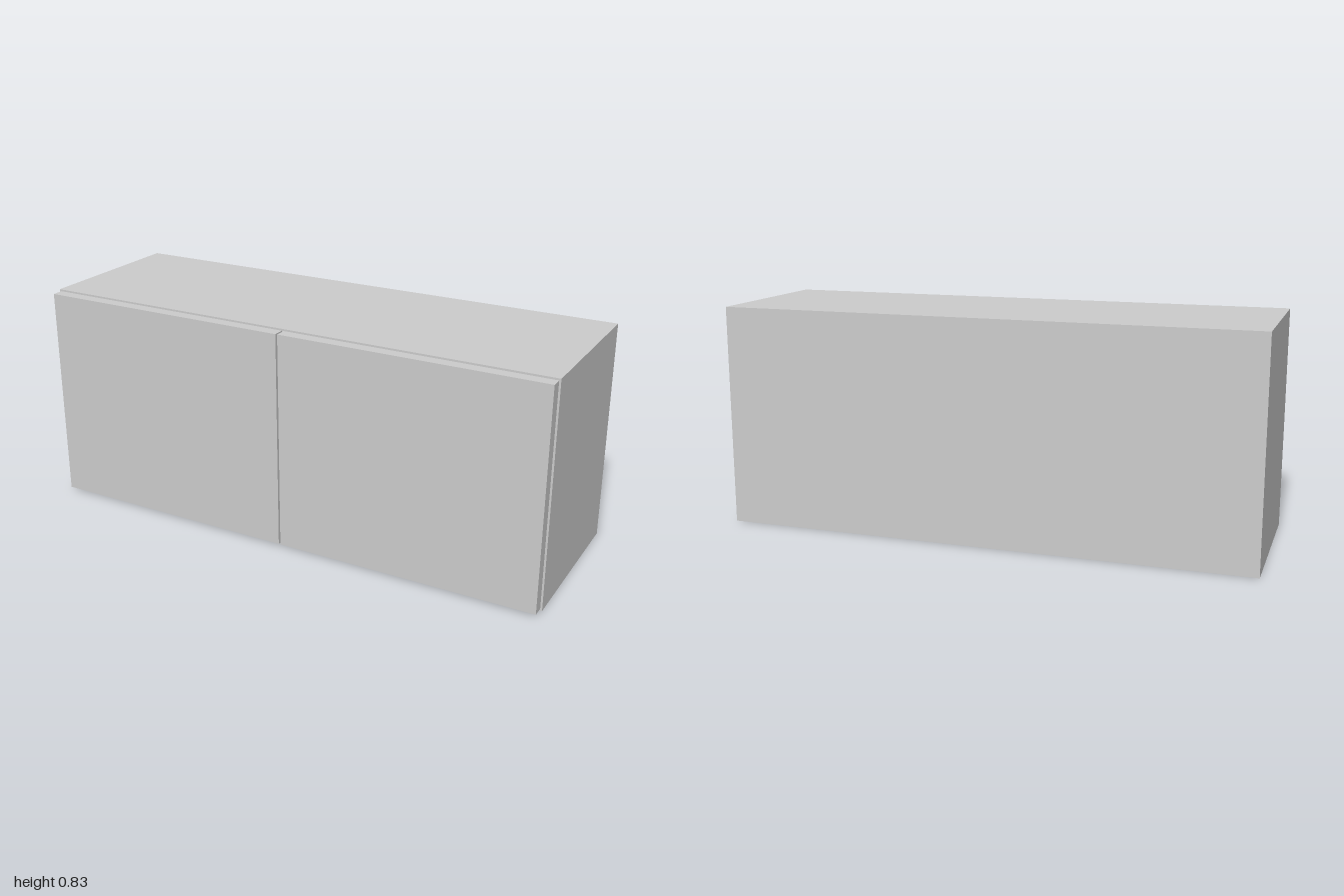
import * as THREE from 'three';

const W = 2, H = 0.833, BACK = -0.333, FRONT = 0.29, DOOR_FRONT = 0.333;
const T = 0.04;        // board thickness
const REVEAL = 0.007;  // margin around the doors

export function createModel() {
  const model = new THREE.Group();
  model.name = 'wallCabinet';
  const material = new THREE.MeshStandardMaterial({ color: 0xcccccc });

  // A board given by its lower and upper corners
  const board = (name, [x0, y0, z0], [x1, y1, z1]) => {
    const mesh = new THREE.Mesh(new THREE.BoxGeometry(x1 - x0, y1 - y0, z1 - z0), material);
    mesh.position.set((x0 + x1) / 2, (y0 + y1) / 2, (z0 + z1) / 2);
    mesh.name = name;
    model.add(mesh);
  };

  const inner = W / 2 - T;

  // Carcass: sides, back, and the boards between them
  board('leftSide', [inner, 0, BACK], [W / 2, H, FRONT]);
  board('rightSide', [-W / 2, 0, BACK], [-inner, H, FRONT]);
  board('backPanel', [-inner, 0, BACK], [inner, H, BACK + T]);
  const levels = { bottomPanel: 0, shelf: (H - T) / 2, topPanel: H - T };
  for (const [name, y] of Object.entries(levels)) {
    board(name, [-inner, y, BACK + T], [inner, y + T, FRONT]);
  }

  // Pair of overlay doors with a narrow gap between them
  const outer = W / 2 - REVEAL, gap = REVEAL / 2;
  board('leftDoor', [gap, REVEAL, FRONT], [outer, H - REVEAL, DOOR_FRONT]);
  board('rightDoor', [-outer, REVEAL, FRONT], [-gap, H - REVEAL, DOOR_FRONT]);

  return model;
}
